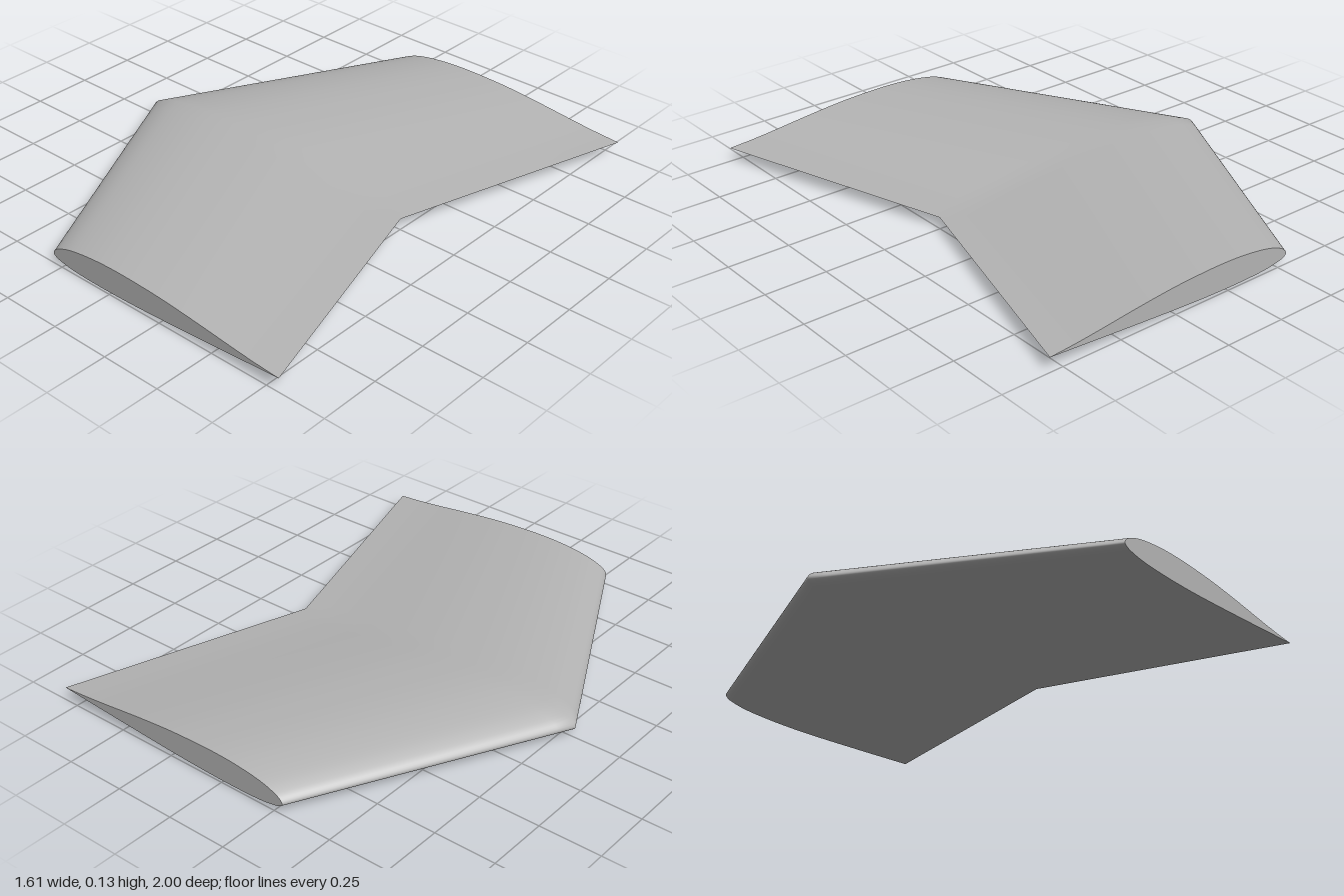
import * as THREE from 'three';

// Aerofoil outline as fractions of the chord, from trailing edge over the nose and back
const UPPER = [[1, 0], [0.9, 0.0085], [0.8, 0.02], [0.7, 0.033], [0.6, 0.045], [0.5, 0.055], [0.4, 0.061],
  [0.3, 0.064], [0.2, 0.061], [0.1, 0.049], [0.05, 0.036], [0.0125, 0.018]];
const LOWER = [[0, 0], [0.0125, -0.012], [0.05, -0.022], [0.1, -0.029], [0.2, -0.0335], [0.3, -0.034],
  [0.4, -0.032], [0.5, -0.028], [0.6, -0.023], [0.7, -0.0175], [0.8, -0.012], [0.9, -0.006], [1, 0]];
const OUTLINE = new THREE.CatmullRomCurve3(
  [...UPPER, ...LOWER].map(([t, h]) => new THREE.Vector3(t, h, 0)), false, 'centripetal').getPoints(96);

const ROOT = { nose: -0.808, tail: 0.5, noseY: 0.0455, tailY: 0.049 };
const TIP = { nose: -0.29, tail: 0.805, noseY: 0.046, tailY: 0.059 };
const SECTIONS = 32;

// Cross-section at span position z, tapered and swept from root to tip
function section(z) {
  const mix = (key) => THREE.MathUtils.lerp(ROOT[key], TIP[key], Math.abs(z));
  const nose = mix('nose'), chord = mix('tail') - nose;
  const noseY = mix('noseY'), rise = mix('tailY') - noseY;
  return OUTLINE.map((p) => new THREE.Vector3(nose + p.x * chord, noseY + p.x * rise + p.y * chord, z));
}

// Smooth skin through all sections, with a sharp trailing edge
function skinGeometry() {
  const points = [], index = [], n = OUTLINE.length;
  for (let j = 0; j <= SECTIONS; j++) {
    points.push(...section(-1 + (2 * j) / SECTIONS));
    if (j === SECTIONS) break;
    for (let i = 0; i < n - 1; i++) {
      const a = j * n + i, b = a + 1, c = a + n, d = c + 1;
      index.push(a, b, c, b, d, c);
    }
  }
  const geometry = new THREE.BufferGeometry().setFromPoints(points);
  geometry.setIndex(index);
  geometry.computeVertexNormals();
  return geometry;
}

// Flat wing-tip cap facing outwards at z = +1 or -1
function capGeometry(side) {
  const outline = section(side).slice(0, -1).map((p) => new THREE.Vector2(p.x, p.y));
  const geometry = new THREE.ShapeGeometry(new THREE.Shape(outline));
  geometry.translate(0, 0, side);
  if (side < 0) {
    geometry.setIndex(Array.from(geometry.index.array).reverse());
    geometry.computeVertexNormals();
  }
  return geometry;
}

export function createModel() {
  const model = new THREE.Group();
  model.name = 'sweptWing';
  const grey = new THREE.MeshStandardMaterial({ color: 0xb4b4b4 });
  grey.name = 'grey';

  const add = (name, geometry) => {
    const mesh = new THREE.Mesh(geometry, grey);
    mesh.name = name;
    model.add(mesh);
  };
  add('wingSkin', skinGeometry());
  add('frontTipCap', capGeometry(1));
  add('backTipCap', capGeometry(-1));
  return model;
}
